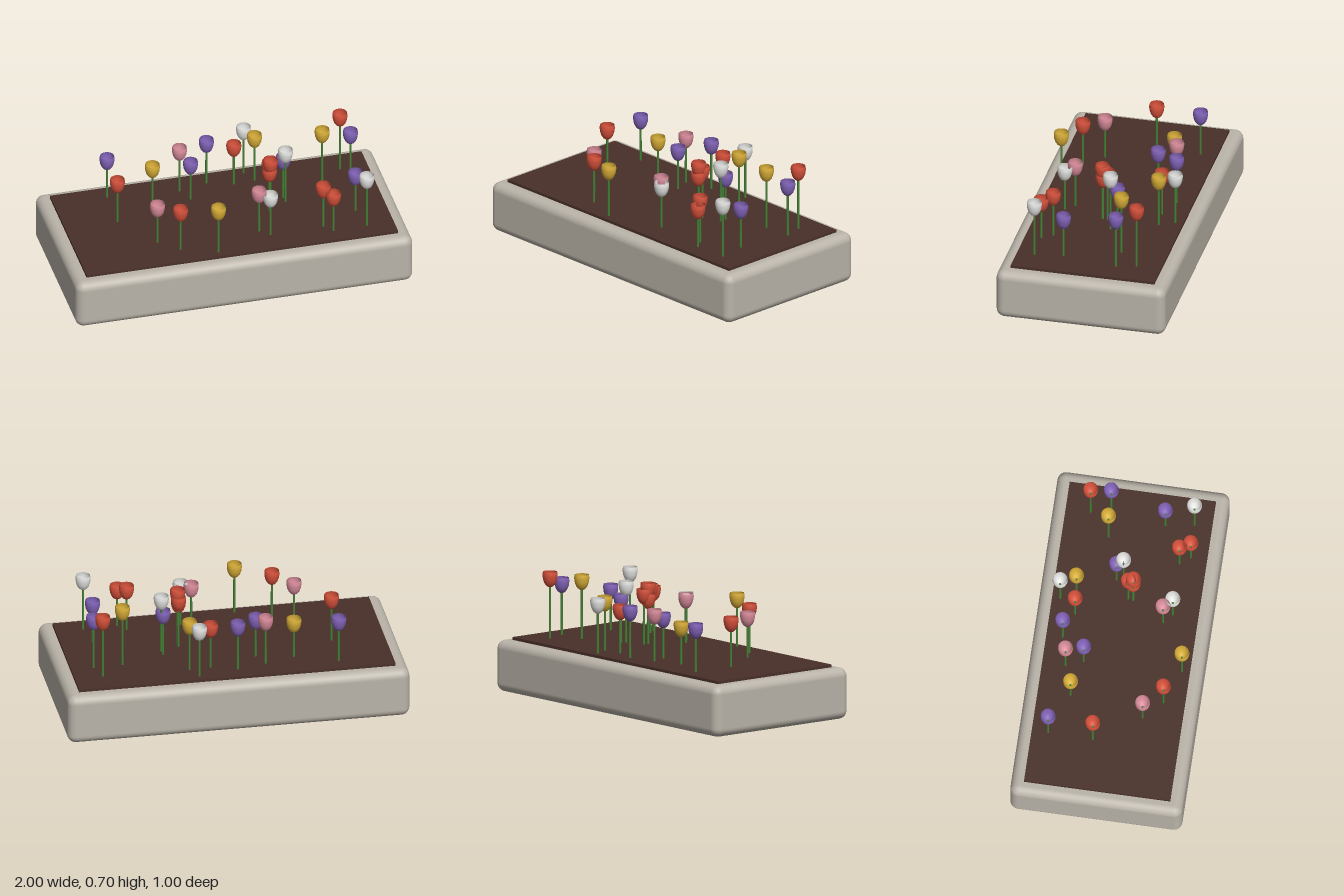
import * as THREE from 'three';
import { RoundedBoxGeometry } from 'three/addons/geometries/RoundedBoxGeometry.js';

const mat = (name, color, side = THREE.FrontSide) => {
  const m = new THREE.MeshStandardMaterial({ color, side });
  m.name = name;
  return m;
};

// Tulips per colour: [x, z, height of the rim]
const TULIPS = {
  red: [
    [0.13, -0.28, 0.6], [0.76, -0.28, 0.705], [-0.615, -0.07, 0.61], [0.265, 0.01, 0.64],
    [0.265, 0.04, 0.672], [0.26, 0.038, 0.61], [-0.335, 0.3, 0.605], [0.52, 0.27, 0.605], [0.565, 0.33, 0.58],
  ],
  yellow: [
    [-0.365, -0.235, 0.565], [0.255, -0.29, 0.635], [0.623, -0.157, 0.693], [-0.13, 0.378, 0.63],
  ],
  pink: [[-0.19, -0.29, 0.62], [-0.445, 0.195, 0.585], [0.15, 0.228, 0.605]],
  purple: [
    [-0.61, -0.33, 0.6], [-0.02, -0.33, 0.62], [-0.15, -0.19, 0.582], [0.793, -0.165, 0.653],
    [0.37, -0.073, 0.605], [0.74, 0.157, 0.585],
  ],
  white: [[0.213, -0.378, 0.638], [0.373, -0.033, 0.676], [0.205, 0.277, 0.597], [0.765, 0.323, 0.663]],
};

export function createModel() {
  const model = new THREE.Group();
  model.name = 'tulipPlanter';
  const stone = mat('stone', 0xbab4a9);
  const soilMat = mat('soil', 0x4a3029);
  const green = mat('stemGreen', 0x457f35);
  const petals = {
    red: mat('redPetal', 0xd6513b, THREE.DoubleSide),
    yellow: mat('yellowPetal', 0xd8ae38, THREE.DoubleSide),
    pink: mat('pinkPetal', 0xd98c9b, THREE.DoubleSide),
    purple: mat('purplePetal', 0x8263b8, THREE.DoubleSide),
    white: mat('whitePetal', 0xe4e4e2, THREE.DoubleSide),
  };

  const add = (name, geometry, material, x, y, z, parent = model) => {
    const mesh = new THREE.Mesh(geometry, material);
    mesh.name = name;
    mesh.position.set(x, y, z);
    parent.add(mesh);
    return mesh;
  };

  // Trough and the slab of earth in it
  add('trough', new RoundedBoxGeometry(2, 0.3, 1, 5, 0.05), stone, 0, 0.15, 0);
  add('soil', new THREE.BoxGeometry(1.85, 0.035, 0.85), soilMat, 0, 0.2985, 0);

  // Open cup, rim at y = 0
  const profile = [
    [0, -0.091], [0.012, -0.0885], [0.023, -0.081], [0.033, -0.067], [0.04, -0.048],
    [0.0435, -0.026], [0.0435, -0.013], [0.041, 0],
  ].map(([r, y]) => new THREE.Vector2(r, y));
  const cup = new THREE.LatheGeometry(profile, 24);
  const stem = new THREE.CylinderGeometry(0.0062, 0.0068, 1, 10);

  for (const [colour, list] of Object.entries(TULIPS)) {
    for (const [x, z, rim] of list) {
      const tulip = new THREE.Group();
      tulip.name = colour + 'Tulip';
      tulip.position.set(x, 0, z);
      const base = 0.3, tip = rim - 0.085;
      add('stem', stem, green, 0, (base + tip) / 2, 0, tulip).scale.y = tip - base;
      add('flowerCup', cup, petals[colour], 0, rim, 0, tulip);
      model.add(tulip);
    }
  }
  return model;
}
